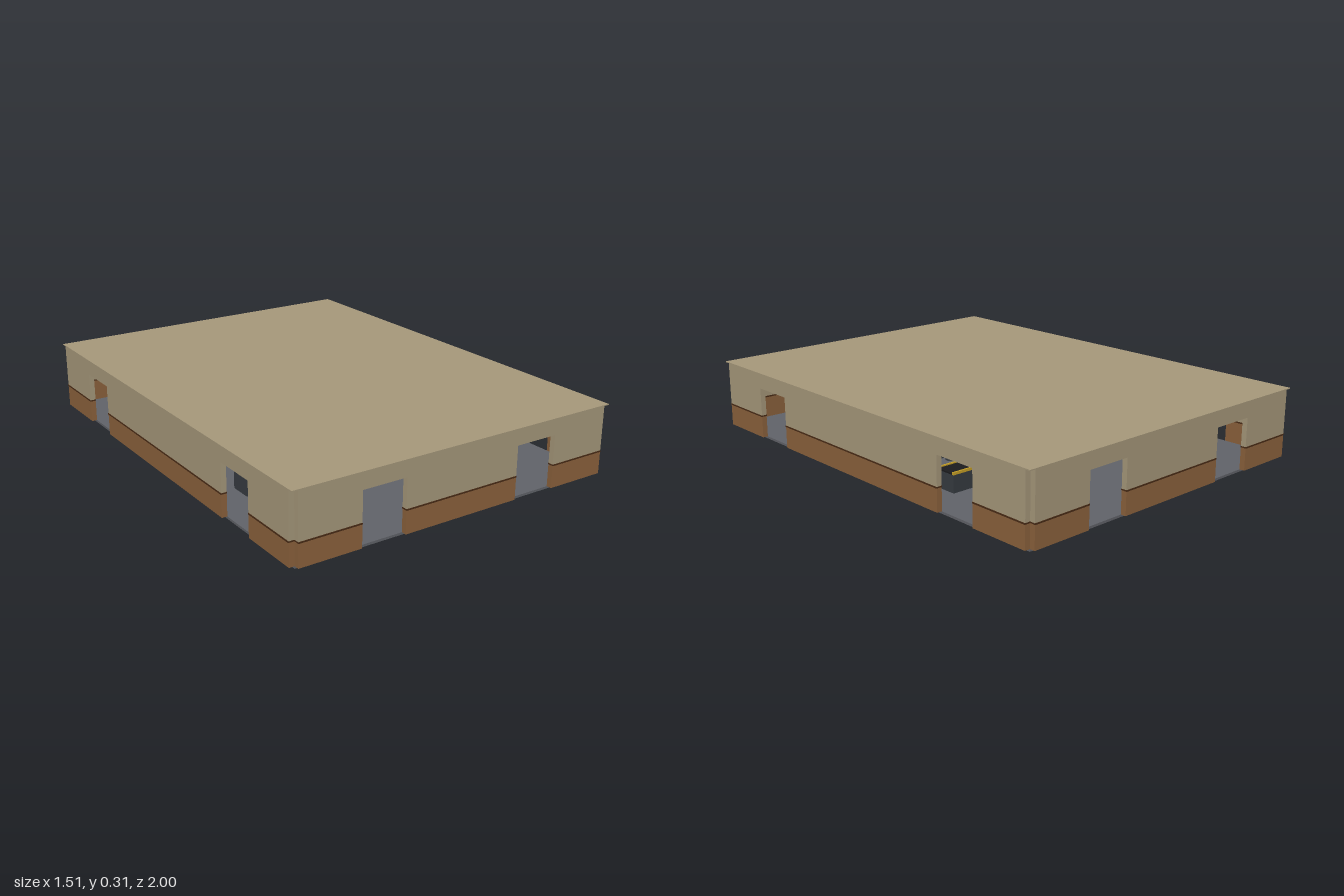
import * as THREE from 'three';

const mat = (name, color) => {
  const m = new THREE.MeshStandardMaterial({ color });
  m.name = name;
  return m;
};
const M = {
  plaster: mat('beige plaster', 0xa89a7c),
  brick: mat('brown brick', 0x8d633d),
  trim: mat('dark brown trim', 0x4a2c16),
  concrete: mat('grey concrete', 0x62646a),
  steel: mat('dark steel', 0x373c42),
  yellow: mat('safety yellow', 0xc9a227),
  black: mat('black rubber', 0x1c1c1e),
  crate: mat('light grey part', 0x9c968c),
};

function add(parent, name, geometry, material, x = 0, y = 0, z = 0) {
  const mesh = new THREE.Mesh(geometry, material);
  mesh.name = name;
  mesh.position.set(x, y, z);
  parent.add(mesh);
  return mesh;
}

// Box given by its minimum and maximum on each axis
function box(parent, name, material, x0, x1, y0, y1, z0, z1) {
  return add(parent, name, new THREE.BoxGeometry(x1 - x0, y1 - y0, z1 - z0), material,
    (x0 + x1) / 2, (y0 + y1) / 2, (z0 + z1) / 2);
}

const HALF_W = 0.73, HALF_D = 0.975, THICK = 0.023;
const FLOOR = 0.01, BAND = 0.105, TRIM = 0.111, DOOR = 0.236, EAVE = 0.302, ROOF = 0.306;

// Wall along local x, facing +z, with two door openings
function wall(name, half, doorIn, doorOut) {
  const g = new THREE.Group();
  g.name = name;
  for (const [a, b] of [[-half, -doorOut], [-doorIn, doorIn], [doorOut, half]]) {
    box(g, 'lowerWall', M.brick, a, b, FLOOR, BAND, 0, THICK);
    box(g, 'trimStrip', M.trim, a, b, BAND, TRIM, -0.002, THICK + 0.002);
    box(g, 'upperWall', M.plaster, a, b, TRIM, EAVE, 0, THICK);
  }
  for (const s of [-1, 1]) {
    const x = s * (doorIn + doorOut) / 2, h = (doorOut - doorIn) / 2;
    box(g, 'doorLintel', M.plaster, x - h, x + h, DOOR, EAVE, 0, THICK);
  }
  return g;
}

// Rod between two points in the xy plane
function rod(parent, name, x0, y0, x1, y1, width, material) {
  const len = Math.hypot(x1 - x0, y1 - y0);
  const m = add(parent, name, new THREE.BoxGeometry(len, width, 0.02), material, (x0 + x1) / 2, (y0 + y1) / 2, 0);
  m.rotation.z = Math.atan2(y1 - y0, x1 - x0);
}

function robotArm() {
  const g = new THREE.Group();
  g.name = 'robotArm';
  add(g, 'pedestal', new THREE.CylinderGeometry(0.022, 0.028, 0.06, 16), M.steel, 0, FLOOR + 0.03, 0);
  add(g, 'turntable', new THREE.CylinderGeometry(0.02, 0.02, 0.02, 16), M.yellow, 0, 0.08, 0);
  rod(g, 'lowerArm', -0.003, 0.08, 0.005, 0.15, 0.022, M.yellow);
  rod(g, 'forearm', 0, 0.15, 0.053, 0.174, 0.015, M.yellow);
  rod(g, 'gripper', 0.053, 0.176, 0.056, 0.158, 0.006, M.black);
  const joint = add(g, 'elbowJoint', new THREE.CylinderGeometry(0.01, 0.01, 0.028, 16), M.black, 0.004, 0.151, 0);
  joint.rotation.x = Math.PI / 2;
  return g;
}

// Conveyor with yellow side rails, workpieces and robots
function assemblyLine() {
  const g = new THREE.Group();
  g.name = 'assemblyLine';
  box(g, 'conveyorBody', M.steel, -0.58, 0.58, FLOOR, 0.084, -0.05, 0.05);
  box(g, 'conveyorBelt', M.black, -0.58, 0.58, 0.084, 0.09, -0.042, 0.042);
  for (const s of [-1, 1]) {
    add(g, 'sideRail', new THREE.BoxGeometry(1.16, 0.011, 0.008), M.yellow, 0, 0.0895, s * 0.046);
  }
  for (const x of [-0.366, 0, 0.362]) {
    box(g, 'workpiece', M.crate, x - 0.021, x + 0.021, 0.09, 0.115, -0.025, 0.025);
    add(g, 'workpieceKnob', new THREE.SphereGeometry(0.009, 12, 8), M.black, x, 0.122, 0);
  }
  for (const x of [-0.325, 0, 0.323]) {
    const r = robotArm();
    r.position.set(x, 0, -0.085);
    g.add(r);
  }
  return g;
}

export function createModel() {
  const model = new THREE.Group();
  model.name = 'factoryHall';

  box(model, 'floorSlab', M.concrete, -HALF_W, HALF_W, 0, FLOOR, -HALF_D, HALF_D);
  box(model, 'roof', M.plaster, -0.755, 0.755, EAVE, ROOF, -0.998, 0.998);

  // Four walls, leaving small open corners under the roof
  const sides = [['frontWall', 0], ['leftWall', 1], ['backWall', 2], ['rightWall', 3]];
  for (const [name, turn] of sides) {
    const end = turn % 2 === 0;
    const w = end ? wall(name, HALF_W, 0.267, 0.462) : wall(name, HALF_D, 0.51, 0.707);
    const a = turn * Math.PI / 2, d = end ? HALF_D : HALF_W;
    w.rotation.y = a;
    w.position.set(Math.sin(a) * d, 0, Math.cos(a) * d);
    model.add(w);
  }

  for (const z of [-0.35, 0, 0.35]) {
    const line = assemblyLine();
    line.position.z = z;
    model.add(line);
  }
  return model;
}
